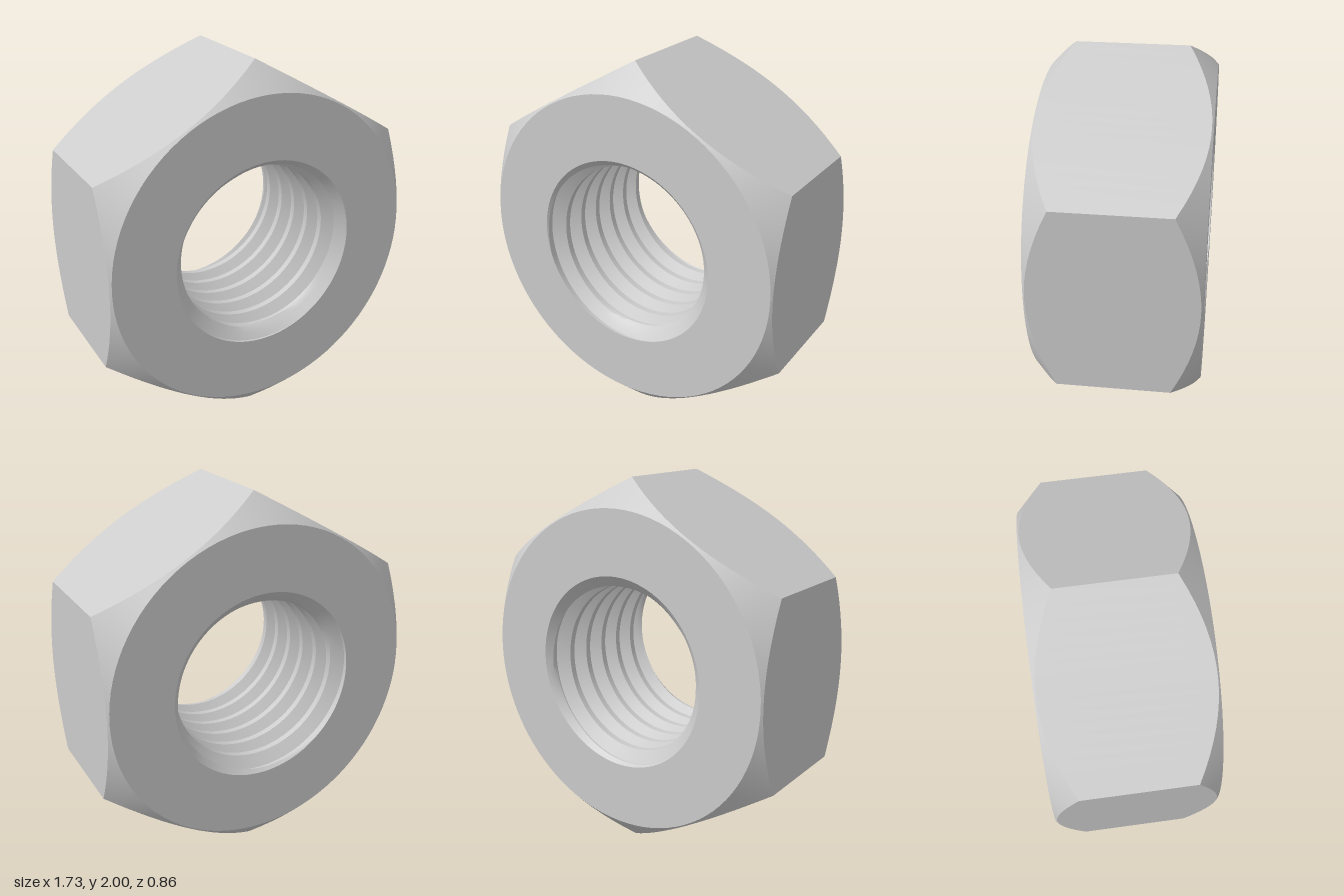
import * as THREE from 'three';
import { toCreasedNormals } from 'three/addons/utils/BufferGeometryUtils.js';

const APOTHEM = Math.sqrt(3) / 2; // hexagon corner radius is 1
const HALF = 0.43;                // half thickness along z
const FACE_R = 0.857;             // circle where the outer chamfer meets the face
const CREST = 0.45, ROOT = 0.515; // thread radii
const PITCH = 0.135;
const SEGMENTS = 96;              // multiple of 6, so columns fall on the corners

// Sweeps a section(theta) -> [[r, z], ...] around the z axis.
function sweep(section, crease) {
  const columns = [];
  for (let i = 0; i <= SEGMENTS; i++) {
    const turn = i / SEGMENTS;
    const a = Math.PI / 6 + turn * Math.PI * 2;
    columns.push(section(a, turn).map(([r, z]) => new THREE.Vector3(r * Math.cos(a), r * Math.sin(a), z)));
  }
  const pos = [];
  const tri = (a, b, c) => {
    const area = b.clone().sub(a).cross(c.clone().sub(a)).length();
    if (area > 1e-9) for (const p of [a, b, c]) pos.push(p.x, p.y, p.z);
  };
  for (let i = 0; i < SEGMENTS; i++) {
    const p = columns[i], q = columns[i + 1];
    for (let j = 0; j < p.length - 1; j++) {
      tri(p[j], p[j + 1], q[j]);
      tri(p[j + 1], q[j + 1], q[j]);
    }
  }
  const geometry = new THREE.BufferGeometry();
  geometry.setAttribute('position', new THREE.Float32BufferAttribute(pos, 3));
  return toCreasedNormals(geometry, crease);
}

// Hexagonal flats cut by a 45 degree cone at both ends
function bodySection(a) {
  const sector = Math.PI / 3;
  const fromCorner = (((a - Math.PI / 6) % sector) + sector) % sector;
  const r = APOTHEM / Math.cos(fromCorner - sector / 2);
  const z = HALF - (r - FACE_R);
  return [[ROOT, HALF], [FACE_R, HALF], [r, z], [r, -z], [FACE_R, -HALF], [ROOT, -HALF]];
}

// Thread radius over one pitch: crest flat, flank, root flat, flank
function threadRadius(u) {
  const d = Math.abs(u - Math.floor(u) - 0.5); // 0 at the root, 0.5 at the crest
  const t = THREE.MathUtils.clamp((d - 0.0625) / 0.3125, 0, 1);
  return THREE.MathUtils.lerp(ROOT, CREST, t);
}

// Right-handed helical thread, with a lead-in chamfer at each end
function boreSection(a, turn) {
  const steps = [0, 0.125, 0.28, 0.4375, 0.5625, 0.72, 0.875];
  const points = [];
  for (let k = -5; k <= 4; k++) {
    for (const u of steps) {
      const z = THREE.MathUtils.clamp((k + u + turn) * PITCH, -HALF, HALF);
      const chamfer = ROOT - (HALF - Math.abs(z));
      points.push([Math.max(threadRadius(z / PITCH - turn), chamfer), z]);
    }
  }
  return points;
}

export function createModel() {
  const group = new THREE.Group();
  group.name = 'hexNut';
  const material = new THREE.MeshStandardMaterial({ color: 0xcccccc });
  const add = (name, geometry) => {
    const mesh = new THREE.Mesh(geometry, material);
    mesh.name = name;
    mesh.position.y = 1;
    group.add(mesh);
  };
  add('hexBody', sweep(bodySection, 0.5));
  add('threadedBore', sweep(boreSection, 0.5));
  return group;
}
